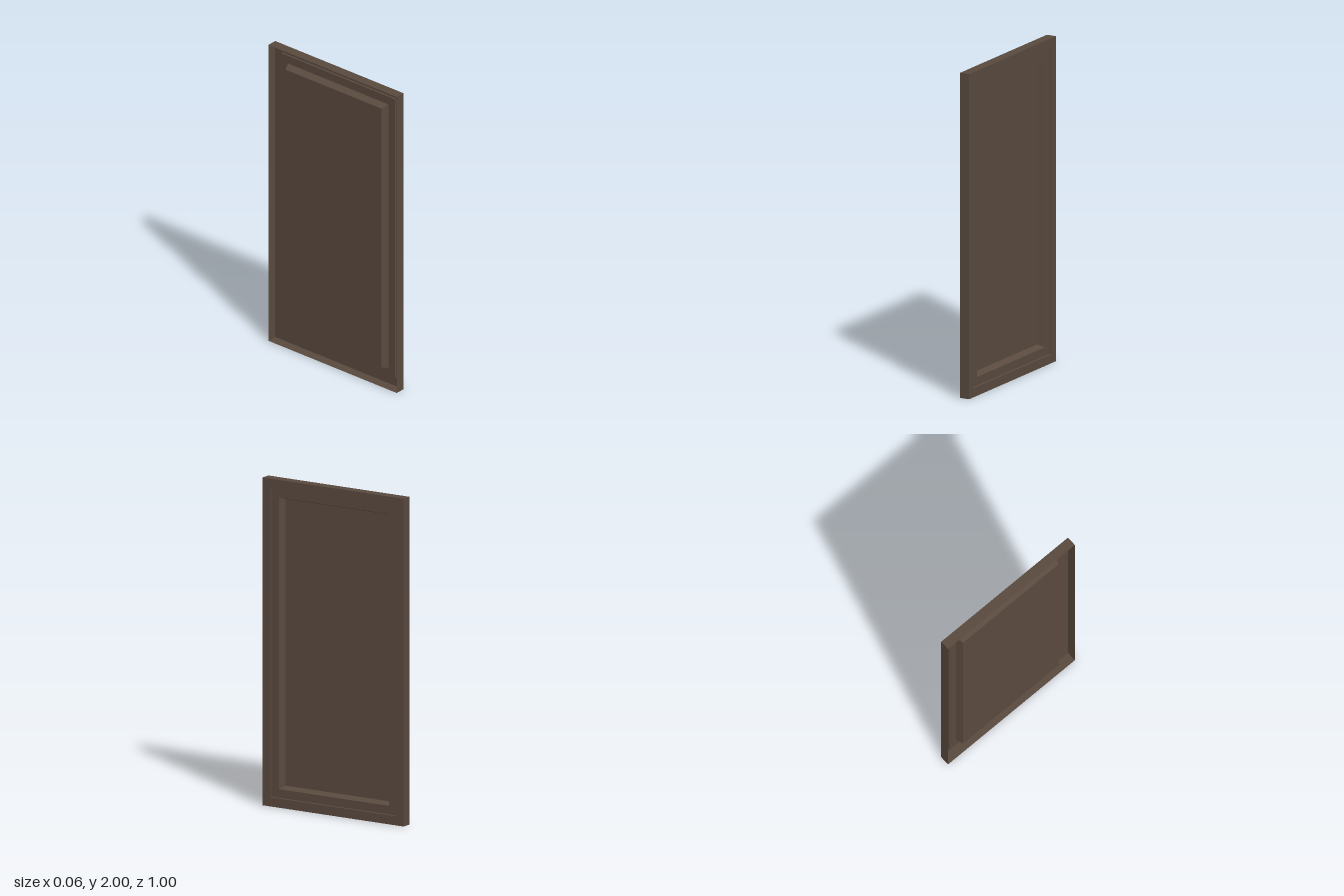
import * as THREE from 'three';

// Rectangular ring parallel to the yz plane, inset from the outer edge, at depth x
const ring = (inset, x) => {
  const z = 0.5 - inset, y0 = inset, y1 = 2 - inset;
  return [[x, y0, z], [x, y0, -z], [x, y1, -z], [x, y1, z]];
};

// Four flat faces joining an outer ring to an inner one
function band(outer, inner) {
  const pos = [];
  for (let i = 0; i < 4; i++) {
    const j = (i + 1) % 4;
    const [a, b, c, d] = [outer[i], outer[j], inner[j], inner[i]];
    pos.push(...a, ...b, ...c, ...a, ...c, ...d);
  }
  return finish(pos);
}

function finish(pos) {
  const g = new THREE.BufferGeometry();
  g.setAttribute('position', new THREE.Float32BufferAttribute(pos, 3));
  g.computeVertexNormals();
  return g;
}

export function createModel() {
  const group = new THREE.Group();
  group.name = 'panelDoor';
  const wood = new THREE.MeshStandardMaterial({ color: 0x5a4a3f, side: THREE.DoubleSide });
  wood.name = 'darkWood';
  const add = (name, geometry) => {
    const mesh = new THREE.Mesh(geometry, wood);
    mesh.name = name;
    group.add(mesh);
  };

  // Pressed sheet, open at the back: outer rim, stepped frame, sunken panel
  const rings = [
    ring(0, -0.031), ring(0, 0.031),
    ring(0.056, 0.031), ring(0.058, 0.021),
    ring(0.11, 0.021), ring(0.125, -0.025),
  ];
  const names = ['outerEdge', 'outerFrame', 'frameStep', 'innerFrame', 'panelBevel'];
  names.forEach((name, i) => add(name, band(rings[i], rings[i + 1])));

  // Flat centre panel
  const [a, b, c, d] = rings[5];
  add('centrePanel', finish([...a, ...b, ...c, ...a, ...c, ...d]));
  return group;
}
